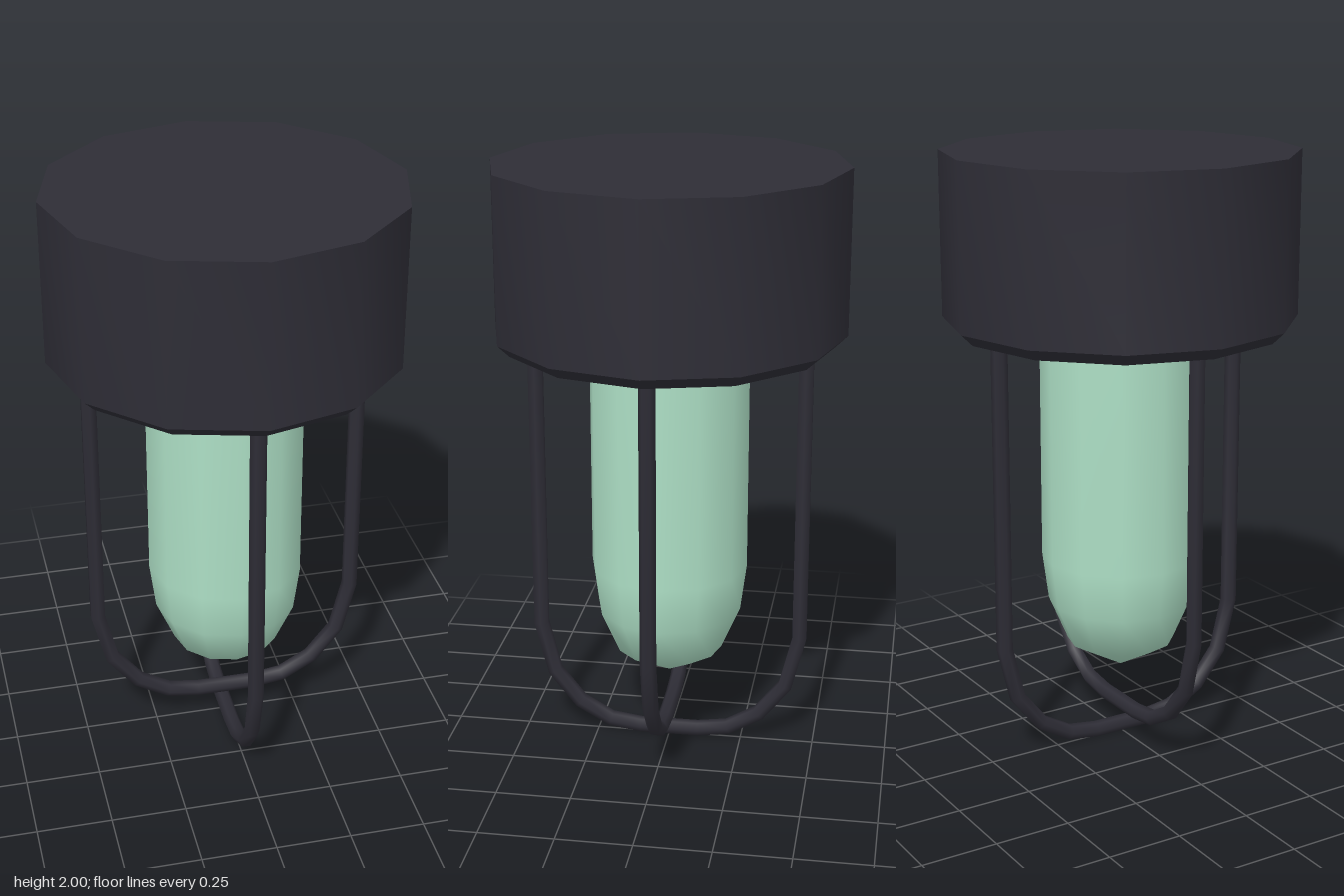
import * as THREE from 'three';
import { toCreasedNormals } from 'three/addons/utils/BufferGeometryUtils.js';

// Curve whose samples land exactly on the given points
class Polyline extends THREE.Curve {
  constructor(points) {
    super();
    this.points = points;
  }
  getPointAt(u, target = new THREE.Vector3()) {
    return target.copy(this.points[Math.round(u * (this.points.length - 1))]);
  }
  getTangentAt(u, target = new THREE.Vector3()) {
    const p = this.points, i = Math.round(u * (p.length - 1));
    const dir = (a, b) => p[b].clone().sub(p[a]).normalize();
    target.set(0, 0, 0);
    if (i > 0) target.add(dir(i - 1, i));
    if (i < p.length - 1) target.add(dir(i, i + 1));
    return target.normalize();
  }
}

const lathe = (profile) =>
  new THREE.LatheGeometry(profile.map(([r, y]) => new THREE.Vector2(r, y)), 12);

export function createModel() {
  const group = new THREE.Group();
  const metal = new THREE.MeshStandardMaterial({ name: 'dark metal', color: 0x2e2d36 });
  const glass = new THREE.MeshStandardMaterial({ name: 'pale green glass', color: 0xaee0c6 });

  const add = (name, geometry, material) => {
    const mesh = new THREE.Mesh(geometry, material);
    mesh.name = name;
    group.add(mesh);
    return mesh;
  };

  // Housing with a chamfered lower rim
  const housing = lathe([[0, 1.425], [0.538, 1.425], [0.577, 1.463], [0.577, 2], [0, 2]]);
  add('housing', toCreasedNormals(housing, 0.7), metal);

  // Hanging glass bulb
  add('bulb', lathe([[0, 0.245], [0.18, 0.345], [0.243, 0.49], [0.264, 0.65], [0.264, 1.44]]), glass);

  // Two crossed wire guards, one hanging slightly lower
  const half = [[0.447, 0.475], [0.402, 0.295], [0.312, 0.182], [0.205, 0.121], [0.1, 0.106]];
  const guard = (name, drop, angle) => {
    const right = [[0.447, 1.44 + drop], ...half].map(([x, y]) => new THREE.Vector3(x, y - drop, 0));
    const left = right.map((p) => new THREE.Vector3(-p.x, p.y, 0)).reverse();
    const points = [...right, ...left];
    const tube = new THREE.TubeGeometry(new Polyline(points), points.length - 1, 0.027, 6, false);
    add(name, tube, metal).rotation.y = angle;
  };
  guard('sideGuard', 0, 0);
  guard('frontBackGuard', 0.082, Math.PI / 2);

  return group;
}
